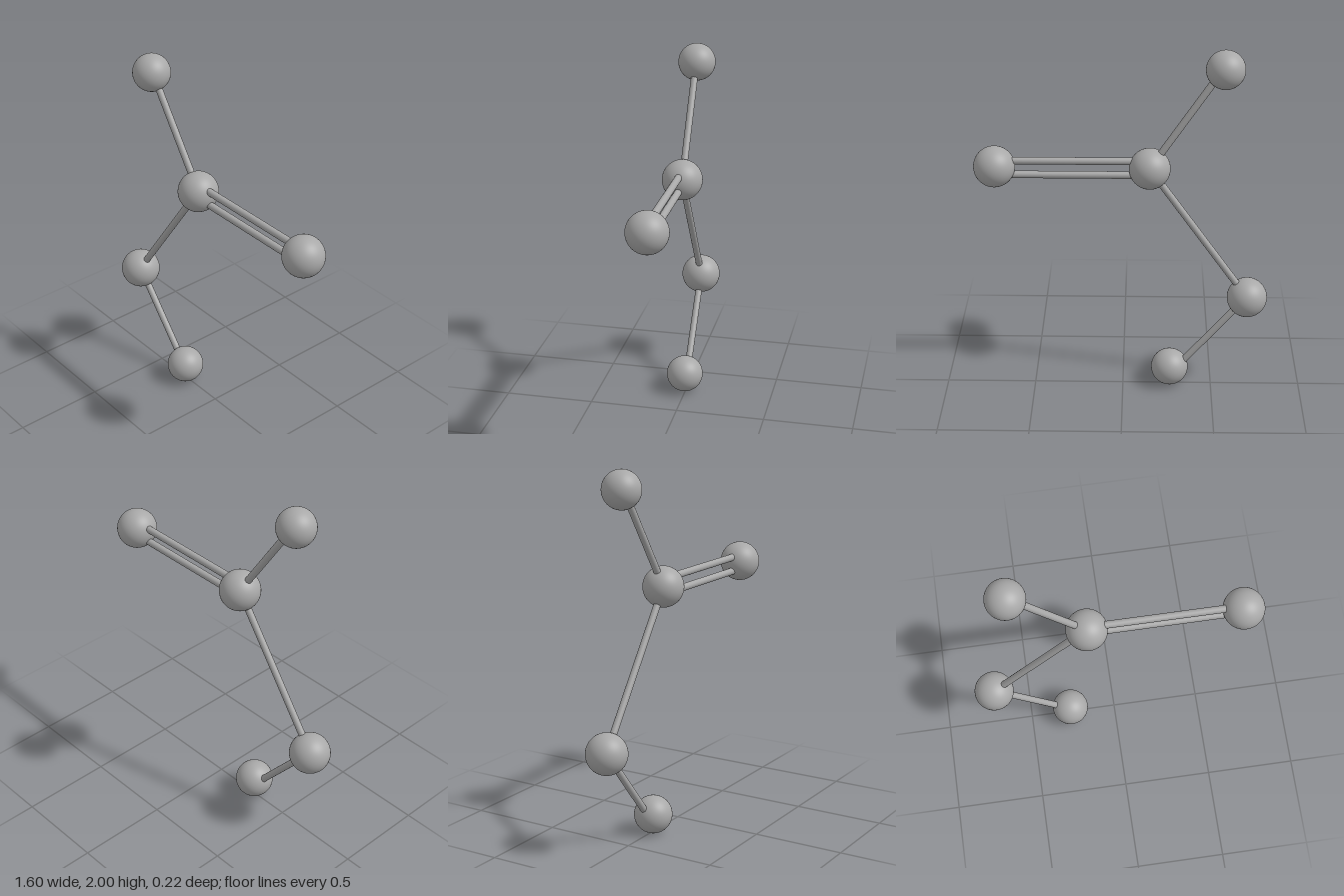
import * as THREE from 'three';

export function createModel() {
  const group = new THREE.Group();
  const grey = new THREE.MeshStandardMaterial({ color: 0xa8a8a8 });
  grey.name = 'grey';
  const V = (x, y, z = 0) => new THREE.Vector3(x, y, z);

  function ball(name, centre, radius) {
    const mesh = new THREE.Mesh(new THREE.SphereGeometry(radius, 48, 32), grey);
    mesh.name = name;
    mesh.position.copy(centre);
    group.add(mesh);
  }

  // Straight round rod between two points
  function rod(name, a, b, radius = 0.019) {
    const dir = b.clone().sub(a);
    const mesh = new THREE.Mesh(new THREE.CylinderGeometry(radius, radius, dir.length(), 24), grey);
    mesh.name = name;
    mesh.position.copy(a).add(b).multiplyScalar(0.5);
    mesh.quaternion.setFromUnitVectors(V(0, 1), dir.normalize());
    group.add(mesh);
  }

  const hub = V(-0.143, 1.34, -0.002);
  const side = V(0.685, 1.347, -0.002);
  const elbow = V(-0.688, 0.565, -0.002);
  const top = V(-0.53, 1.898, -0.002);
  const foot = V(-0.265, 0.106, 0.007);

  // Balls: three larger ones and two smaller end ones
  ball('hubBall', hub, 0.111);
  ball('sideBall', side, 0.111);
  ball('elbowBall', elbow, 0.111);
  ball('topBall', top, 0.103);
  ball('footBall', foot, 0.104);

  // Single rods
  rod('topRod', hub, V(-0.517, 1.9));
  rod('longRod', hub, elbow);
  rod('footRod', elbow, V(-0.295, 0.095));

  // Pair of parallel rods
  for (const dy of [-0.04, 0.04]) {
    rod(dy > 0 ? 'upperPairRod' : 'lowerPairRod', V(hub.x, 1.341 + dy), V(side.x, 1.341 + dy), 0.02);
  }
  return group;
}
